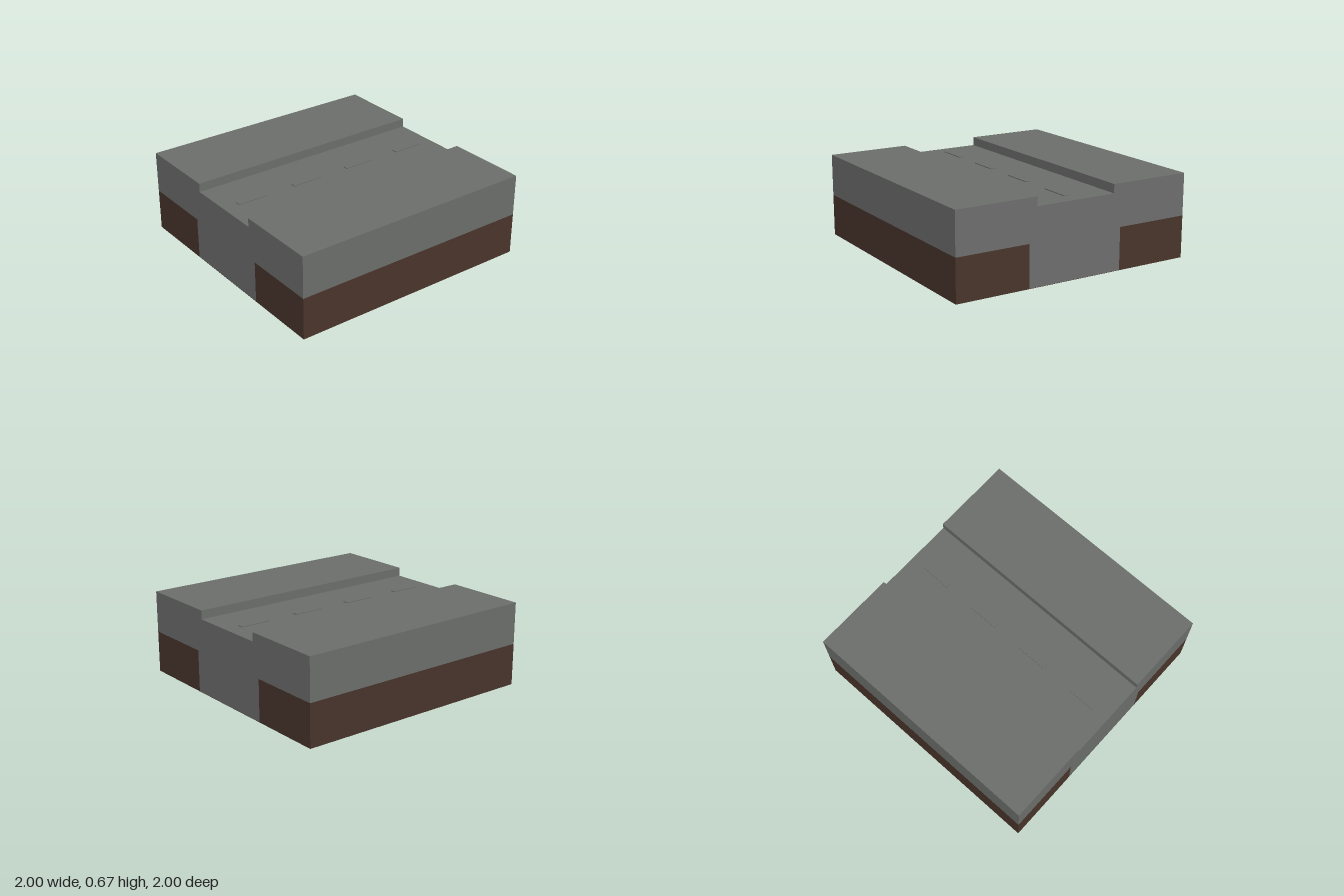
import * as THREE from 'three';

const grey = new THREE.MeshStandardMaterial({ name: 'asphalt grey', color: 0x6b6d6b });
const brown = new THREE.MeshStandardMaterial({ name: 'earth brown', color: 0x48342b });

// Mirrors half of a (z, y) outline and extrudes it along x, centred.
function slab(name, half, material) {
  const mirrored = half.map(([z, y]) => [-z, y]).reverse();
  const shape = new THREE.Shape([...half, ...mirrored].map(([z, y]) => new THREE.Vector2(z, y)));
  const geometry = new THREE.ExtrudeGeometry(shape, { depth: 2, bevelEnabled: false });
  geometry.translate(0, 0, -1).rotateY(Math.PI / 2);
  const mesh = new THREE.Mesh(geometry, material);
  mesh.name = name;
  return mesh;
}

export function createModel() {
  const group = new THREE.Group();
  group.name = 'roadBlock';

  const skin = 0.002; // thin earth layer closing the underside
  const earthTop = 0.335, stem = 0.4, curb = 0.335, road = 0.6, top = 0.67;

  // Earth base: two side banks joined by the underside
  group.add(slab('earthBase', [
    [1, 0], [1, earthTop], [stem, earthTop], [stem, skin],
  ], brown));

  // Road body: sunken lane, raised pavements and central foundation
  group.add(slab('roadBody', [
    [stem, skin], [stem, earthTop], [1, earthTop], [1, top], [curb, top], [curb, road],
  ], grey));

  // Dashed raised lane markers along the centre of the road
  for (let i = 0; i < 4; i++) {
    const dash = new THREE.Mesh(new THREE.BoxGeometry(0.25, 0.007, 0.045), grey);
    dash.name = 'laneMarker';
    dash.position.set(-0.75 + i * 0.5, road + 0.0035, 0);
    group.add(dash);
  }
  return group;
}
